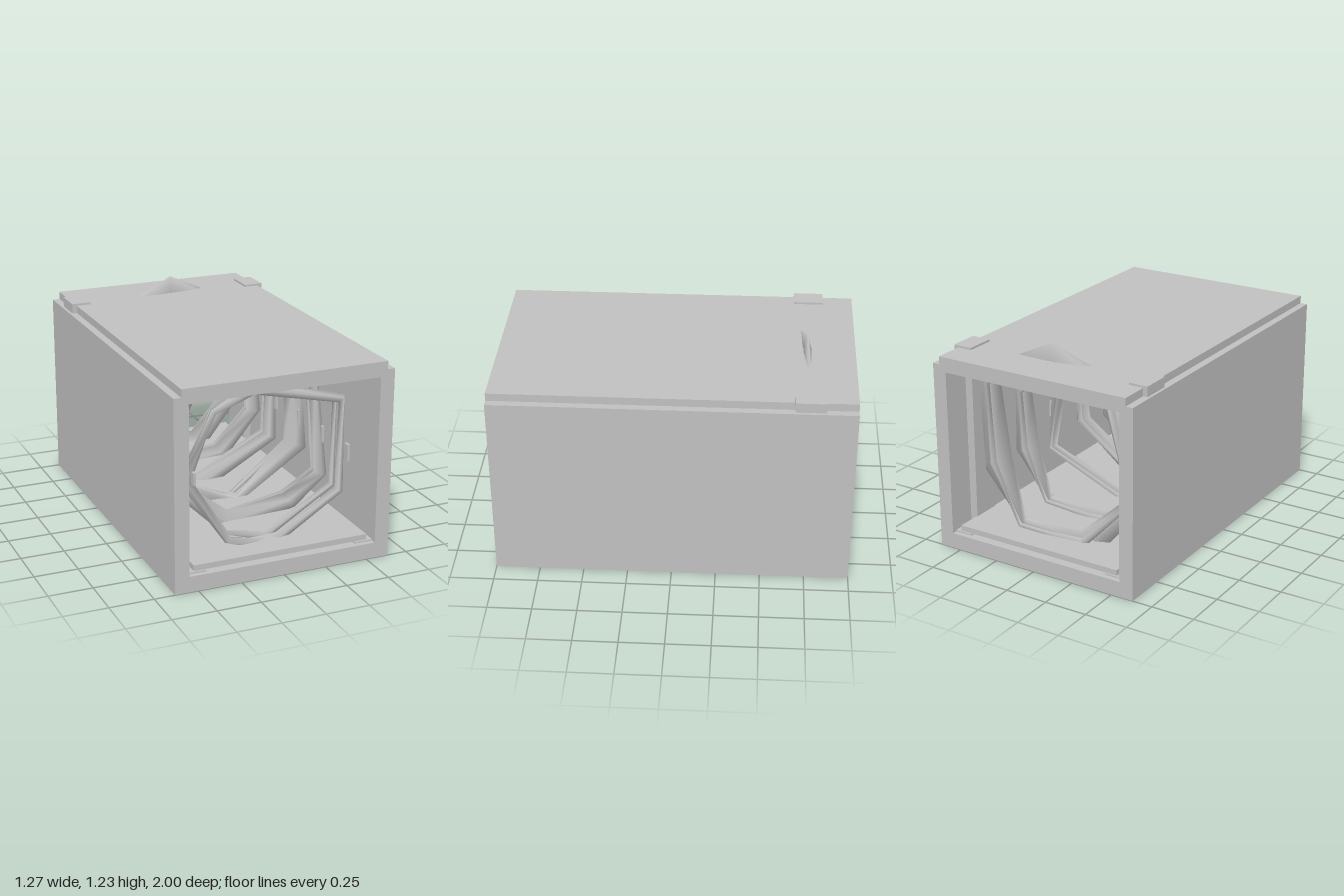
import * as THREE from 'three';

const grey = new THREE.MeshStandardMaterial({ color: 0xc0c0c0 });
grey.name = 'plain grey';

// Box given by its lower and upper limits on each axis
function box(name, [x0, x1], [y0, y1], [z0, z1]) {
  const mesh = new THREE.Mesh(new THREE.BoxGeometry(x1 - x0, y1 - y0, z1 - z0), grey);
  mesh.position.set((x0 + x1) / 2, (y0 + y1) / 2, (z0 + z1) / 2);
  mesh.name = name;
  return mesh;
}

// Closed faceted hoop: a flat twisting diamond section swept around a few corner points
function hoop(name, points, z, radial, depth) {
  const n = points.length, pos = [], index = [];
  points.forEach(([x, y], i) => {
    const a = Math.atan2(y - 0.58, x);
    const r = radial * (i % 2 ? 0.75 : 1);
    const zc = z + 0.03 * Math.sin(i * 2.3);
    const twist = 0.6 * Math.sin(i * 1.7);
    for (let k = 0; k < 4; k++) {
      const t = k * Math.PI / 2;
      const p = r * Math.cos(t), q = depth * Math.sin(t);
      const u = p * Math.cos(twist) - q * Math.sin(twist);
      const w = p * Math.sin(twist) + q * Math.cos(twist);
      pos.push(x + u * Math.cos(a), y + u * Math.sin(a), zc + w);
    }
  });
  for (let i = 0; i < n; i++) {
    for (let k = 0; k < 4; k++) {
      const a = i * 4 + k, b = i * 4 + (k + 1) % 4;
      const c = ((i + 1) % n) * 4 + k, d = ((i + 1) % n) * 4 + (k + 1) % 4;
      index.push(a, c, b, b, c, d);
    }
  }
  const g = new THREE.BufferGeometry();
  g.setAttribute('position', new THREE.Float32BufferAttribute(pos, 3));
  g.setIndex(index);
  g.computeVertexNormals();
  const mesh = new THREE.Mesh(g, grey);
  mesh.name = name;
  return mesh;
}

export function createModel() {
  const model = new THREE.Group();
  model.name = 'tunnel';

  // Outer shell
  model.add(box('floor', [-0.633, 0.633], [0, 0.09], [-1, 1]));
  model.add(box('ceiling', [-0.59, 0.59], [1.05, 1.135], [-1, 1]));
  for (const s of [-1, 1]) {
    const span = (a, b) => (s > 0 ? [a, b] : [-b, -a]);
    model.add(box('sideWall', span(0.55, 0.633), [0.09, 1.09], [-1, 1]));
    // Post passing up through the ceiling
    model.add(box('post', span(0.505, 0.617), [0.09, 1.147], [-0.83, -0.66]));
    // Low rail carrying the walkway
    model.add(box('floorRail', span(0.443, 0.55), [0.088, 0.098], [-0.97, 0.97]));
  }
  model.add(box('walkway', [-0.515, 0.512], [0.104, 0.136], [-0.97, 0.97]));

  // Irregular hoops along the tunnel, corners listed anticlockwise from the top
  const hoops = [
    { z: 0.8, radial: 0.035, points: [[-0.1, 1.01], [-0.34, 0.92], [-0.48, 0.53], [-0.25, 0.17], [0, 0.1], [0.435, 0.34], [0.41, 0.9]] },
    { z: 0.49, radial: 0.07, points: [[0.03, 1.03], [-0.31, 0.95], [-0.49, 0.66], [-0.41, 0.38], [-0.12, 0.12], [0.28, 0.18], [0.45, 0.34], [0.41, 0.92]] },
    { z: 0.18, radial: 0.07, points: [[-0.12, 1.0], [-0.42, 0.47], [-0.28, 0.2], [0.06, 0.1], [0.45, 0.4], [0.45, 0.75], [0.3, 0.98]] },
    { z: -0.12, radial: 0.06, points: [[0.1, 1.01], [-0.3, 0.96], [-0.48, 0.62], [-0.4, 0.32], [-0.05, 0.1], [0.44, 0.34], [0.42, 0.9]] },
    { z: -0.43, radial: 0.07, points: [[0.2, 0.99], [-0.2, 1.0], [-0.45, 0.74], [-0.45, 0.42], [-0.15, 0.1], [0.25, 0.15], [0.45, 0.42], [0.44, 0.82]] },
    { z: -0.73, radial: 0.09, points: [[0.03, 1.145], [-0.34, 1.01], [-0.47, 0.7], [-0.45, 0.38], [-0.18, 0.1], [0.22, 0.13], [0.45, 0.45], [0.44, 0.98]] },
  ];
  for (const { z, radial, points } of hoops) {
    model.add(hoop('hoop', points, z, radial, 0.022));
    // Slim strand running next to the hoop
    const inner = points.map(([x, y]) => [x * 0.97, 0.58 + (y - 0.58) * 0.95]);
    model.add(hoop('slimHoop', inner, z - 0.06, 0.025, 0.015));
    // Small plates beside each hoop
    model.add(box('sidePlate', [0.46, 0.475], [0.52, 0.615], [z - 0.02, z + 0.02]));
    model.add(box('sidePlate', [-0.452, -0.437], [0.52, 0.59], [z - 0.02, z + 0.02]));
  }

  // Hanging strands of small links
  const link = new THREE.TorusGeometry(0.014, 0.004, 4, 6);
  for (let c = 0; c < 6; c++) {
    const strand = new THREE.Group();
    strand.name = 'hangingStrand';
    for (let r = 0; r < 6; r++) {
      const ring = new THREE.Mesh(link, grey);
      ring.name = 'link';
      ring.position.set(-0.38 + c * 0.151, 0.742 + r * 0.049, 0);
      strand.add(ring);
    }
    model.add(strand);
  }
  return model;
}
